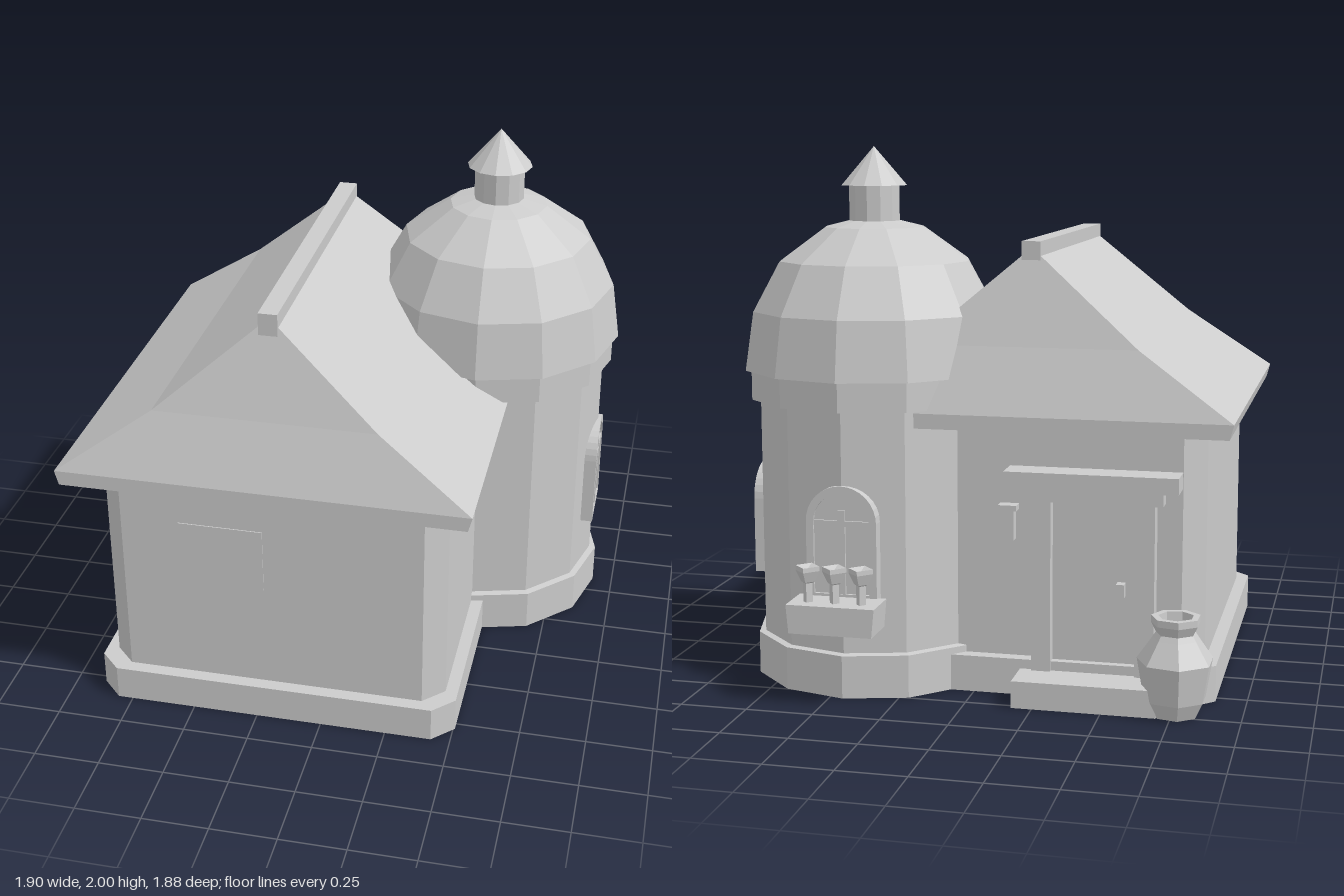
import * as THREE from 'three';

const grey = new THREE.MeshStandardMaterial({ color: 0xcccccc, flatShading: true, side: THREE.DoubleSide });
grey.name = 'plain grey';

function add(parent, name, geo, x = 0, y = 0, z = 0) {
  const m = new THREE.Mesh(geo, grey);
  m.name = name;
  m.position.set(x, y, z);
  parent.add(m);
  return m;
}

// box given by its limits
function block(parent, name, x0, x1, y0, y1, z0, z1) {
  return add(parent, name, new THREE.BoxGeometry(x1 - x0, y1 - y0, z1 - z0),
    (x0 + x1) / 2, (y0 + y1) / 2, (z0 + z1) / 2);
}

// rectangle with cut corners, as a list of plan points
function plan(hx, hz, c) {
  return [[hx - c, hz], [-hx + c, hz], [-hx, hz - c], [-hx, -hz + c],
    [-hx + c, -hz], [hx - c, -hz], [hx, -hz + c], [hx, hz - c]]
    .map(p => new THREE.Vector2(p[0], p[1]));
}

function prism(points, height, hole) {
  const s = new THREE.Shape(points);
  if (hole) s.holes.push(new THREE.Path(hole));
  return new THREE.ExtrudeGeometry(s, { depth: height, bevelEnabled: false }).rotateX(-Math.PI / 2);
}

function turned(profile, sides) {
  return new THREE.LatheGeometry(profile.map(p => new THREE.Vector2(p[0], p[1])), sides);
}

// stacked rectangles [half width, half depth, y] joined into a closed solid
function loft(rings) {
  const pos = [], idx = [];
  for (const [hx, hz, y] of rings) pos.push(-hx, y, hz, hx, y, hz, hx, y, -hz, -hx, y, -hz);
  for (let r = 0; r < rings.length - 1; r++) {
    for (let i = 0; i < 4; i++) {
      const a = r * 4 + i, b = r * 4 + (i + 1) % 4;
      idx.push(a, b, b + 4, a, b + 4, a + 4);
    }
  }
  const t = (rings.length - 1) * 4;
  idx.push(0, 2, 1, 0, 3, 2, t, t + 1, t + 2, t, t + 2, t + 3);
  const g = new THREE.BufferGeometry();
  g.setAttribute('position', new THREE.Float32BufferAttribute(pos, 3));
  g.setIndex(idx);
  g.computeVertexNormals();
  return g;
}

// round-topped outline
function arch(Type, hw, y0, top) {
  const s = new Type();
  s.moveTo(-hw, y0);
  s.lineTo(hw, y0);
  s.lineTo(hw, top - hw);
  s.absarc(0, top - hw, hw, 0, Math.PI, false);
  s.lineTo(-hw, y0);
  return s;
}

function archedWindow() {
  const g = new THREE.Group();
  g.name = 'archedWindow';
  const opt = d => ({ depth: d, bevelEnabled: false, curveSegments: 8 });
  const frame = arch(THREE.Shape, 0.133, 0.37, 0.79);
  frame.holes.push(arch(THREE.Path, 0.105, 0.39, 0.762));
  add(g, 'windowFrame', new THREE.ExtrudeGeometry(frame, opt(0.05)), 0, 0, 0.407);
  add(g, 'windowPane', new THREE.ExtrudeGeometry(arch(THREE.Shape, 0.106, 0.389, 0.763), opt(0.04)), 0, 0, 0.407);
  block(g, 'windowCrossbar', -0.105, 0.105, 0.642, 0.662, 0.44, 0.455);
  block(g, 'windowUpright', -0.014, 0.014, 0.39, 0.70, 0.44, 0.455);
  return g;
}

function buildHouse() {
  const g = new THREE.Group();
  g.name = 'house';
  g.position.set(-0.19, 0, 0.12);
  add(g, 'walls', prism(plan(0.65, 0.69, 0.078), 0.89), 0, 0.13, 0);
  // hollow plinth with a floor slab
  add(g, 'plinth', prism(plan(0.697, 0.74, 0.08), 0.125, plan(0.685, 0.728, 0.075)));
  add(g, 'floor', prism(plan(0.697, 0.74, 0.08), 0.01), 0, 0.125, 0);
  add(g, 'roof', loft([[0.745, 0.82, 0.995], [0.76, 0.82, 1.05], [0.41, 0.73, 1.29], [0.035, 0.625, 1.61]]));
  block(g, 'ridgeCap', -0.035, 0.035, 1.58, 1.663, -0.63, 0.635);
  block(g, 'frontPanel', -0.35, -0.03, 0.55, 0.805, 0.688, 0.694);
  return g;
}

function buildTower() {
  const g = new THREE.Group();
  g.name = 'tower';
  g.position.set(0.45, 0, -0.34);
  add(g, 'towerWall', new THREE.CylinderGeometry(0.445, 0.445, 0.94, 12), 0, 0.62, 0);
  add(g, 'towerPlinth', turned([[0.47, 0], [0.47, 0.16], [0.44, 0.165]], 12));
  add(g, 'towerCollar', turned([[0.44, 1.06], [0.478, 1.06], [0.478, 1.17]], 12));
  add(g, 'dome', turned([[0.47, 1.17], [0.5, 1.17], [0.467, 1.39], [0.365, 1.575], [0.19, 1.70], [0.09, 1.725]], 12));
  add(g, 'lantern', new THREE.CylinderGeometry(0.097, 0.097, 0.15, 12), 0, 1.785, 0);
  add(g, 'lanternCap', new THREE.ConeGeometry(0.126, 0.145, 12), 0, 1.9275, 0);

  // one window to the side, one to the back with a flower box
  const side = archedWindow();
  side.rotation.y = Math.PI / 2;
  const back = archedWindow();
  back.rotation.y = Math.PI;
  g.add(side, back);
  block(back, 'boxBracket', -0.135, 0.135, 0.28, 0.37, 0.41, 0.45);
  add(back, 'flowerBox', loft([[0.155, 0.08, 0.275], [0.165, 0.078, 0.38]]), 0, 0, 0.522);
  for (const x of [-0.1, 0, 0.1]) {
    add(back, 'flower', turned([[0.018, 0.37], [0.018, 0.45], [0.026, 0.455], [0.046, 0.495],
      [0.046, 0.512], [0, 0.50]], 4), x, 0, 0.54);
  }
  return g;
}

function buildEntrance() {
  const g = new THREE.Group();
  g.name = 'entrance';
  block(g, 'doorStep', -0.70, -0.175, 0, 0.10, -0.775, -0.60);
  block(g, 'door', -0.61, -0.28, 0.10, 0.75, -0.59, -0.56);
  for (const s of [-1, 1]) {
    const x = -0.445 + s * 0.19;
    block(g, 'doorPost', x - 0.035, x + 0.035, 0.10, 0.76, -0.635, -0.56);
  }
  block(g, 'lintel', -0.70, -0.19, 0.735, 0.795, -0.645, -0.56);
  block(g, 'canopy', -0.76, -0.127, 0.79, 0.85, -0.69, -0.56);
  block(g, 'doorHandle', -0.56, -0.53, 0.39, 0.44, -0.63, -0.58);
  // small hanging lamp beside the door
  block(g, 'lampArm', -0.16, -0.09, 0.69, 0.71, -0.62, -0.56);
  block(g, 'lamp', -0.15, -0.11, 0.58, 0.69, -0.62, -0.58);
  return g;
}

export function createModel() {
  const model = new THREE.Group();
  model.name = 'towerCottage';
  model.add(buildHouse(), buildTower(), buildEntrance());
  // seven-sided jar by the door
  const jar = add(model, 'jar', turned([[0, 0], [0.085, 0], [0.115, 0.06], [0.14, 0.20], [0.085, 0.28],
    [0.072, 0.30], [0.09, 0.335], [0.09, 0.36], [0.065, 0.36], [0.06, 0.30], [0, 0.30]], 7), -0.76, 0, -0.708);
  jar.rotation.y = Math.PI + 0.215;
  return model;
}
